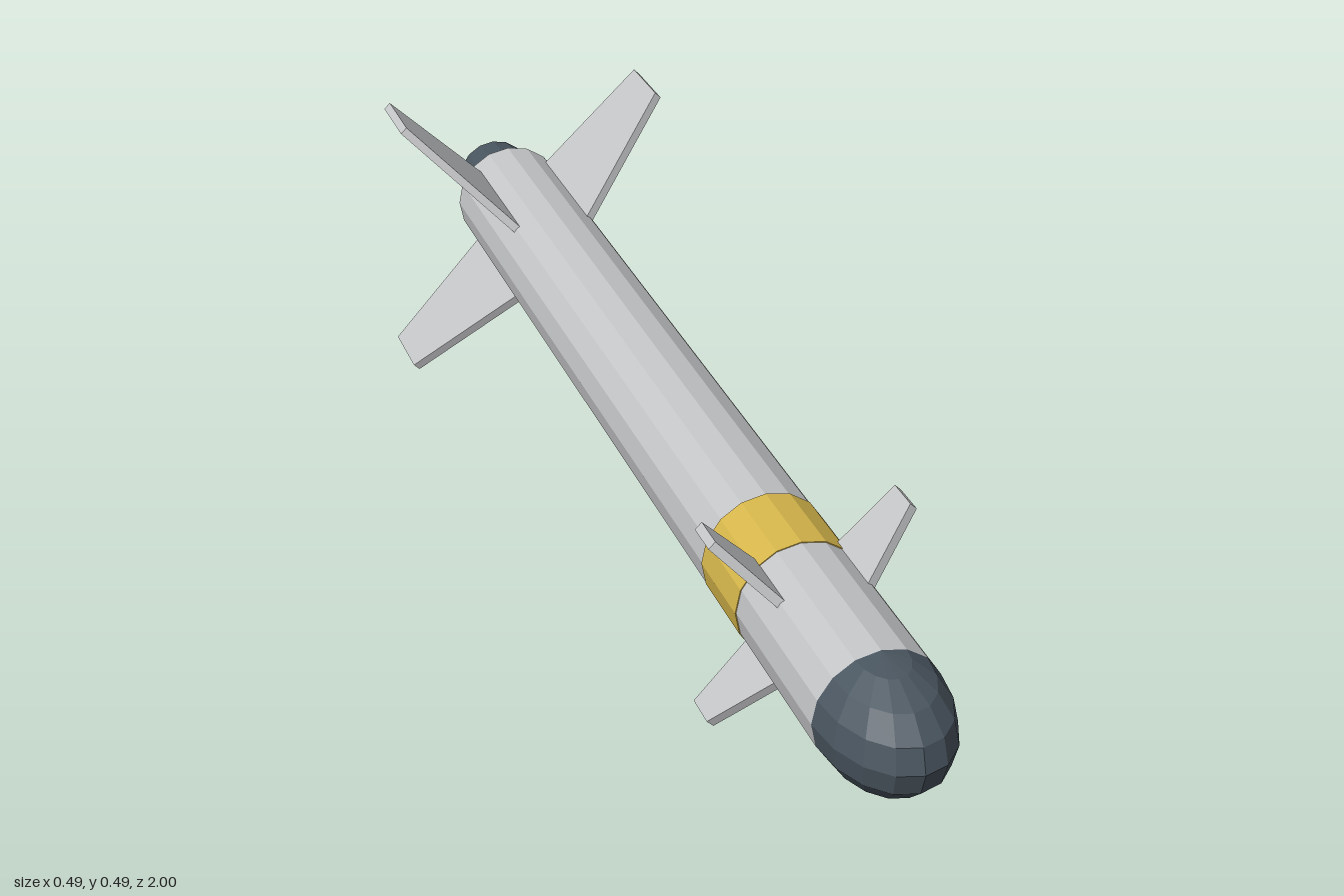
import * as THREE from 'three';

const RADIUS = 0.098;
const SIDES = 16;
const FIN_THICKNESS = 0.0145;

function flatMaterial(name, color) {
  const m = new THREE.MeshStandardMaterial({ color, flatShading: true });
  m.name = name;
  return m;
}

export function createModel() {
  const casing = flatMaterial('light grey casing', 0xc4c5c7);
  const dark = flatMaterial('dark slate', 0x4a5660);
  const yellow = flatMaterial('yellow band', 0xd6b64c);
  const copper = flatMaterial('copper nozzle', 0xb8864f);

  const model = new THREE.Group();
  model.name = 'finnedRocket';
  const rocket = new THREE.Group();
  rocket.name = 'rocket';
  rocket.position.y = 0.2435;
  model.add(rocket);

  function add(name, geometry, material) {
    const mesh = new THREE.Mesh(geometry, material);
    mesh.name = name;
    rocket.add(mesh);
    return mesh;
  }

  // Faceted tube along z from back to front
  function tube(name, front, back, frontRadius, backRadius, material) {
    const g = new THREE.CylinderGeometry(frontRadius, backRadius, front - back, SIDES);
    g.rotateX(Math.PI / 2);
    g.translate(0, 0, (front + back) / 2);
    return add(name, g, material);
  }

  tube('body', 0.847, -0.88, RADIUS, RADIUS, casing);
  tube('band', 0.568, 0.43, RADIUS + 0.0015, RADIUS + 0.0015, yellow);
  tube('tailCone', -0.88, -0.985, 0.082, 0.067, dark);
  tube('nozzle', -0.98, -1, 0.058, 0.058, copper);

  // Stretched dome, its rear half hidden in the body
  const dome = new THREE.SphereGeometry(RADIUS, SIDES, 8);
  dome.scale(1, 1, 0.153 / RADIUS);
  dome.translate(0, 0, 0.847);
  add('nose', dome, dark);

  // Four tapered fins in an X; outline points are [radius, z]
  function finSet(name, outline) {
    const shape = new THREE.Shape(outline.map(([r, z]) => new THREE.Vector2(r, z)));
    const g = new THREE.ExtrudeGeometry(shape, { depth: FIN_THICKNESS, bevelEnabled: false });
    g.translate(0, 0, -FIN_THICKNESS / 2);
    g.rotateX(Math.PI / 2);
    for (let i = 0; i < 4; i++) {
      add(name + (i + 1), g, casing).rotation.z = Math.PI / 4 + (i * Math.PI) / 2;
    }
  }

  finSet('tailFin', [[0.09, -0.847], [0.337, -0.828], [0.337, -0.71], [0.09, -0.595]]);
  finSet('frontFin', [[0.09, 0.549], [0.215, 0.556], [0.215, 0.61], [0.09, 0.664]]);

  return model;
}
